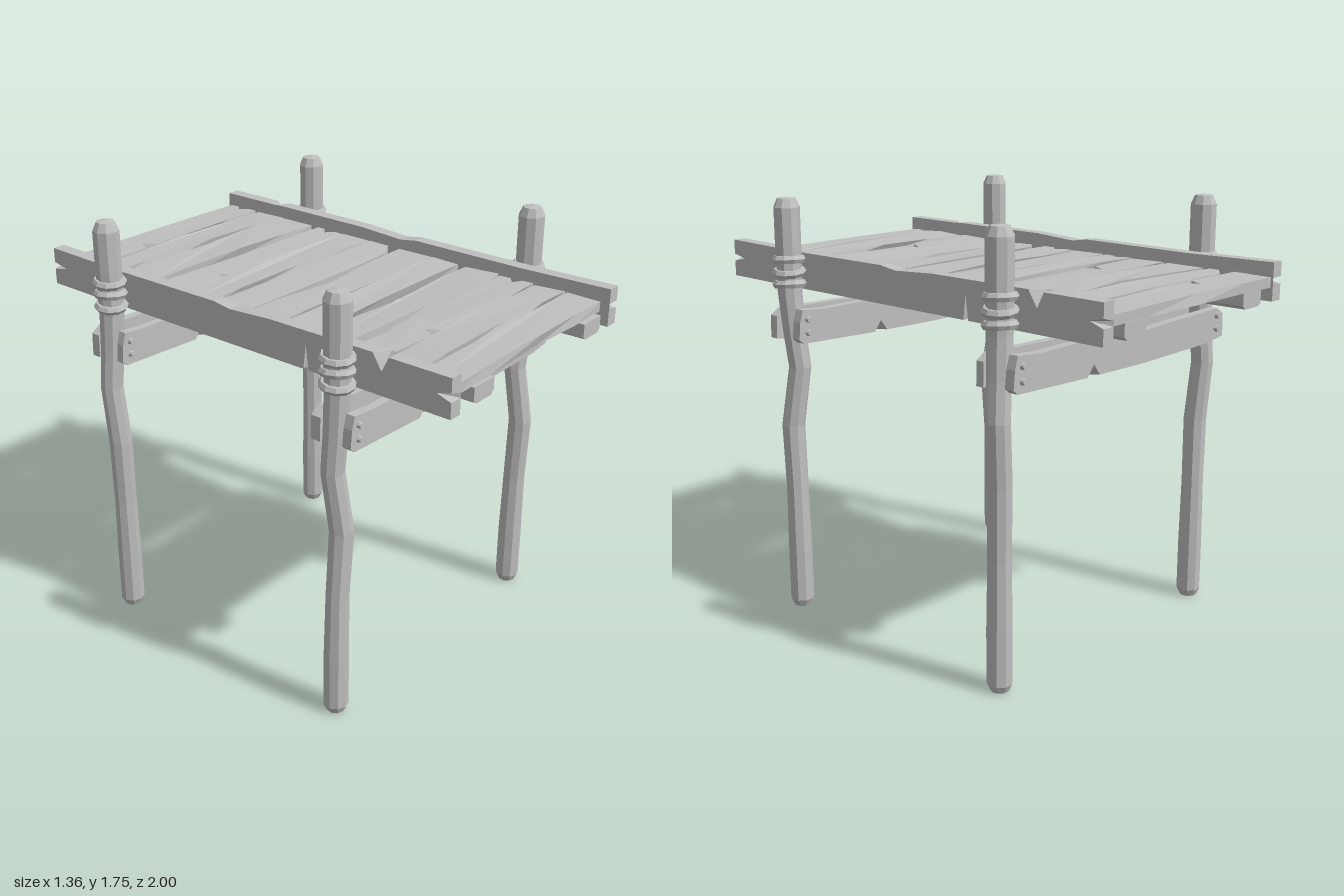
import * as THREE from 'three';

const wood = new THREE.MeshStandardMaterial({ color: 0xbfbfbf, flatShading: true });
wood.name = 'plain grey wood';

let seed = 7;
const rand = () => (seed = (seed * 16807) % 2147483647) / 2147483647;
const wobble = (a) => (rand() - 0.5) * 2 * a;

// Board lofted between two matching outlines; a point is [x, y] or [x, y, backX, backY]
function board(points, thickness) {
  const front = points.map((p) => new THREE.Vector2(p[0], p[1]));
  const back = points.map((p) => new THREE.Vector2(p[2] ?? p[0], p[3] ?? p[1]));
  const out = [];
  const add = (p, z) => out.push(p.x, p.y, z);
  for (const [a, b, c] of THREE.ShapeUtils.triangulateShape(front, [])) {
    [a, b, c].forEach((i) => add(front[i], thickness));
  }
  for (const [a, b, c] of THREE.ShapeUtils.triangulateShape(back, [])) {
    [c, b, a].forEach((i) => add(back[i], 0));
  }
  points.forEach((_, i) => {
    const j = (i + 1) % points.length;
    add(back[i], 0); add(back[j], 0); add(front[j], thickness);
    add(back[i], 0); add(front[j], thickness); add(front[i], thickness);
  });
  const g = new THREE.BufferGeometry();
  g.setAttribute('position', new THREE.Float32BufferAttribute(out, 3));
  g.computeVertexNormals();
  return g;
}

// Three outline points for a splinter missing from the front face only
const chip = (x, y, w, depth) => [[x - w, y], [x, y + depth, x, y], [x + w, y]];

function mesh(name, geometry, parent) {
  const m = new THREE.Mesh(geometry, wood);
  m.name = name;
  parent.add(m);
  return m;
}

// Crooked post: [x, z, bend at 0.8, bend at 1.05]
function makePost([x, z, low, high]) {
  const rows = [
    [0.0, 0.01, 0, 0], [0.036, 0, 0, 0], [0.05, 0.03, 0, 0], [0.05, 0.25, 0, 0], [0.046, 0.52, 0.2, 0],
    [0.048, 0.8, 1, 0], [0.046, 1.05, 0, 1], [0.047, 1.2, 0, 0.4], [0.05, 1.36, 0, 0],
    [0.053, 1.55, 0, 0], [0.053, 1.705, 0, 0], [0.037, 1.74, 0, 0], [0, 1.745, 0, 0],
  ];
  const g = new THREE.LatheGeometry(rows.map((r) => new THREE.Vector2(r[0], r[1])), 9);
  const p = g.attributes.position;
  for (let i = 0; i < p.count; i++) {
    const [, , a, b] = rows[i % rows.length];
    p.setX(i, p.getX(i) + a * low[0] + b * high[0]);
    p.setZ(i, p.getZ(i) + a * low[1] + b * high[1]);
  }
  const group = new THREE.Group();
  group.name = 'post';
  group.position.set(x, 0, z);
  mesh('postShaft', g, group);
  // Rope wound three times
  [1.395, 1.445, 1.495].forEach((y, i) => {
    const rope = mesh('ropeLoop', new THREE.TorusGeometry(0.051, 0.018, 6, 10), group);
    rope.position.y = y;
    rope.rotation.set(Math.PI / 2 + [0.1, -0.06, 0.08][i], [0.06, -0.1, 0.05][i], 0);
  });
  return group;
}

// Cross beam with bolts on its outward face
function makeBeam(z, thickness, facing) {
  const group = new THREE.Group();
  group.name = 'crossBeam';
  mesh('beamBoard', board([
    [-0.642, 1.18], [-0.62, 1.162], ...chip(-0.2, 1.15, 0.035, 0.045), [0.1, 1.145], [0.54, 1.152],
    [0.645, 1.167], [0.642, 1.26], [0.6, 1.287], [0.3, 1.28], [0.08, 1.272], [-0.15, 1.292],
    [-0.5, 1.29], [-0.62, 1.3], [-0.635, 1.25],
  ], thickness), group);
  for (const x of [-0.597, 0.593]) for (const y of [1.205, 1.26]) {
    const bolt = mesh('bolt', new THREE.CylinderGeometry(0.011, 0.014, 0.016, 7), group);
    bolt.rotation.x = Math.PI / 2;
    bolt.position.set(x, y, thickness + 0.007);
  }
  group.position.z = z;
  if (facing < 0) group.rotation.y = Math.PI;
  return group;
}

// Deck plank: back/front edge z at each end, [options]
function makePlank([backL, backR, frontL, frontR, o = {}]) {
  const l = -0.497, r = 0.5, mix = (a, b, x) => a + (b - a) * (x - l) / (r - l);
  const pts = [];
  // Front edge, left to right
  pts.push([l, -frontL]);
  for (const x of [-0.3, 0.05, 0.32]) {
    const y = -mix(frontL, frontR, x);
    if (o.chip !== undefined && Math.abs(o.chip - x) < 0.18) pts.push(...chip(o.chip, y, 0.03, 0.06));
    else pts.push([x, y + wobble(0.004), x, y + wobble(0.016)]);
  }
  if (o.cutR) pts.push([r - 0.08, -frontR], [r, -frontR + 0.05]);
  else pts.push([r, -frontR]);
  // Split right end
  const midR = -(backR + frontR) / 2;
  if (o.splitR) pts.push([r, midR - 0.03], [r - 0.035, midR], [r, midR + 0.03]);
  pts.push([r, -backR]);
  // Back edge, right to left
  for (const x of [0.3, 0.0, -0.28]) {
    const y = -mix(backL, backR, x) - (o.dip && x === 0 ? o.dip : 0);
    pts.push([x, y + wobble(0.004), x, y + wobble(0.016)]);
  }
  if (o.cutL) pts.push([l + 0.085, -backL], [l, -backL - 0.06]);
  else pts.push([l, -backL]);
  // Split left end
  const midL = -(backL + frontL) / 2;
  if (o.splitL) pts.push([l, midL + 0.03], [l + 0.035, midL], [l, midL - 0.03]);
  const g = board(pts, 0.04).rotateX(-Math.PI / 2);
  // Slight sag and tilt
  const sag = wobble(0.012), tilt = wobble(0.06), zc = (backL + frontR) / 2, p = g.attributes.position;
  for (let i = 0; i < p.count; i++) {
    const x = p.getX(i);
    p.setY(i, p.getY(i) + 1.427 + sag * (1 - 4 * x * x) + tilt * (p.getZ(i) - zc));
  }
  g.computeVertexNormals();
  return g;
}

export function createModel() {
  const model = new THREE.Group();
  model.name = 'woodenPlatform';

  // Posts with rope
  [
    [0.608, 0.567, [0, 0.012], [-0.022, -0.018]],
    [-0.61, 0.567, [0.022, 0.005], [-0.006, -0.015]],
    [0.61, -0.59, [0.005, -0.005], [0.024, -0.015]],
    [-0.61, -0.59, [-0.008, 0.005], [-0.018, -0.012]],
  ].forEach((p) => model.add(makePost(p)));

  // Pairs of cross beams clamping the posts
  model.add(makeBeam(0.617, 0.038, 1), makeBeam(0.518, 0.042, -1));
  model.add(makeBeam(-0.542, 0.034, 1), makeBeam(-0.643, 0.04, -1));

  // Side rails, notched at the ends
  for (const s of [1, -1]) {
    const rail = mesh('sideRail', board([
      [-1, 1.372], ...chip(-0.66, 1.37, 0.025, 0.06), [0, 1.37], ...chip(0.37, 1.37, 0.012, 0.1),
      [1, 1.368], [1, 1.43], [0.94, 1.45, 1, 1.45], [1, 1.465], [1, 1.52],
      [0.74, 1.52], [0.71, 1.46, 0.71, 1.52], [0.67, 1.522], [0.2, 1.52], [0, 1.508], [-0.08, 1.52],
      [-0.6, 1.518], [-1, 1.525], [-1, 1.465], [-0.93, 1.45, -1, 1.45], [-1, 1.435],
    ], 0.055), model);
    rail.rotation.y = s * Math.PI / 2;
    rail.position.x = s > 0 ? 0.499 : -0.492;
  }

  // Joists under the deck, chamfered below
  for (const s of [1, -1]) {
    const joist = mesh('joist', board([
      [-0.062, 1.375], [-0.045, 1.365], [0.045, 1.365], [0.062, 1.38], [0.062, 1.43], [-0.062, 1.43],
    ], 1.98), model);
    joist.position.set(s * 0.365, 0, -0.99);
    joist.rotation.y = 0.015;
  }

  // Deck planks, back to front
  const planks = [
    [-0.99, -0.985, -0.825, -0.835, { chip: -0.165, splitR: 1 }],
    [-0.81, -0.815, -0.71, -0.67, { cutL: 1 }],
    [-0.675, -0.675, -0.51, -0.495, { dip: 0.022 }],
    [-0.485, -0.455, -0.325, -0.325, { chip: -0.21, splitR: 1 }],
    [-0.32, -0.315, -0.187, -0.175, { splitL: 1 }],
    [-0.17, -0.165, -0.015, -0.015, { cutR: 1 }],
    [-0.005, -0.005, 0.155, 0.163, { dip: 0.04, splitL: 1 }],
    [0.175, 0.168, 0.312, 0.298, { cutL: 1 }],
    [0.325, 0.335, 0.475, 0.497, { dip: 0.025, splitL: 1 }],
    [0.5, 0.505, 0.65, 0.66, { chip: -0.14, splitR: 1 }],
    [0.675, 0.667, 0.815, 0.805],
    [0.825, 0.815, 0.975, 0.96, { dip: 0.01, splitL: 1 }],
  ];
  planks.forEach((p) => mesh('deckPlank', makePlank(p), model));
  return model;
}
